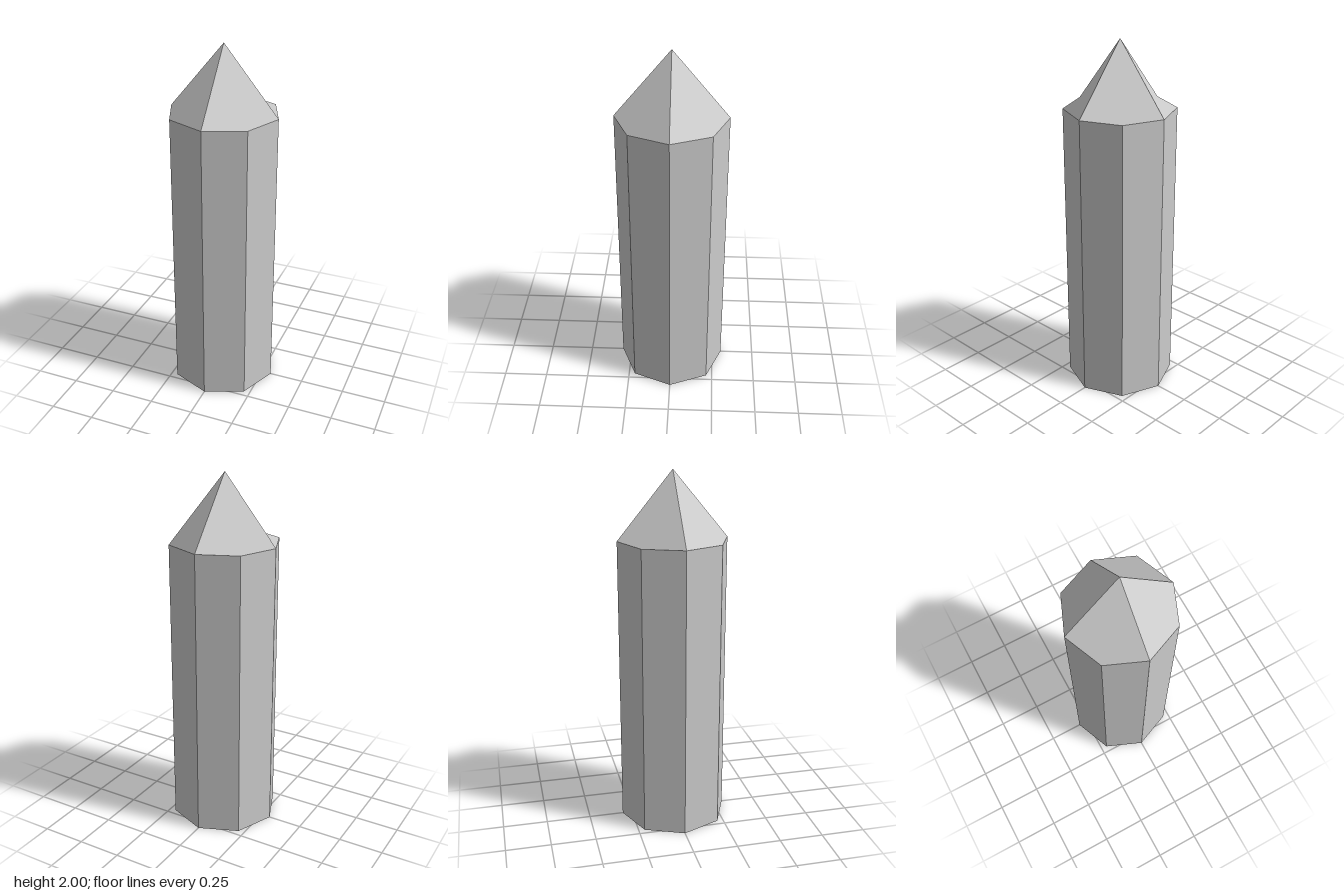
import * as THREE from 'three';

const RADIUS = 0.305, SHOULDER = 1.63, TOP = 2;

// Corner of the octagon at the shoulder height
function corner(i) {
  const a = (i * Math.PI) / 4;
  return new THREE.Vector3(Math.sin(a) * RADIUS, SHOULDER, Math.cos(a) * RADIUS);
}

// Four folded facets: a steep triangle and a small flat ledge sharing one normal
function tipGeometry() {
  const apex = new THREE.Vector3(0, TOP, 0);
  const points = [], normals = [];
  for (let i = 0; i < 8; i += 2) {
    const a = corner(i), mid = corner(i + 1), b = corner(i + 2);
    const n = mid.clone().sub(apex).cross(b.clone().sub(a)).normalize();
    for (const p of [apex, a, b, a, mid, b]) {
      points.push(...p.toArray());
      normals.push(...n.toArray());
    }
  }
  const g = new THREE.BufferGeometry();
  g.setAttribute('position', new THREE.Float32BufferAttribute(points, 3));
  g.setAttribute('normal', new THREE.Float32BufferAttribute(normals, 3));
  return g;
}

export function createModel() {
  const group = new THREE.Group();
  group.name = 'crystal';
  const flat = new THREE.MeshStandardMaterial({ color: 0xcccccc, flatShading: true });
  const facet = new THREE.MeshStandardMaterial({ color: 0xcccccc });

  function add(name, geometry, material) {
    const mesh = new THREE.Mesh(geometry, material);
    mesh.name = name;
    group.add(mesh);
  }

  // Eight-sided shaft, closed above by the tip
  add('shaft', new THREE.CylinderGeometry(RADIUS, RADIUS, SHOULDER, 8, 1, true)
    .translate(0, SHOULDER / 2, 0), flat);
  add('base', new THREE.CircleGeometry(RADIUS, 8).rotateX(Math.PI / 2), flat);
  add('tip', tipGeometry(), facet);
  return group;
}
